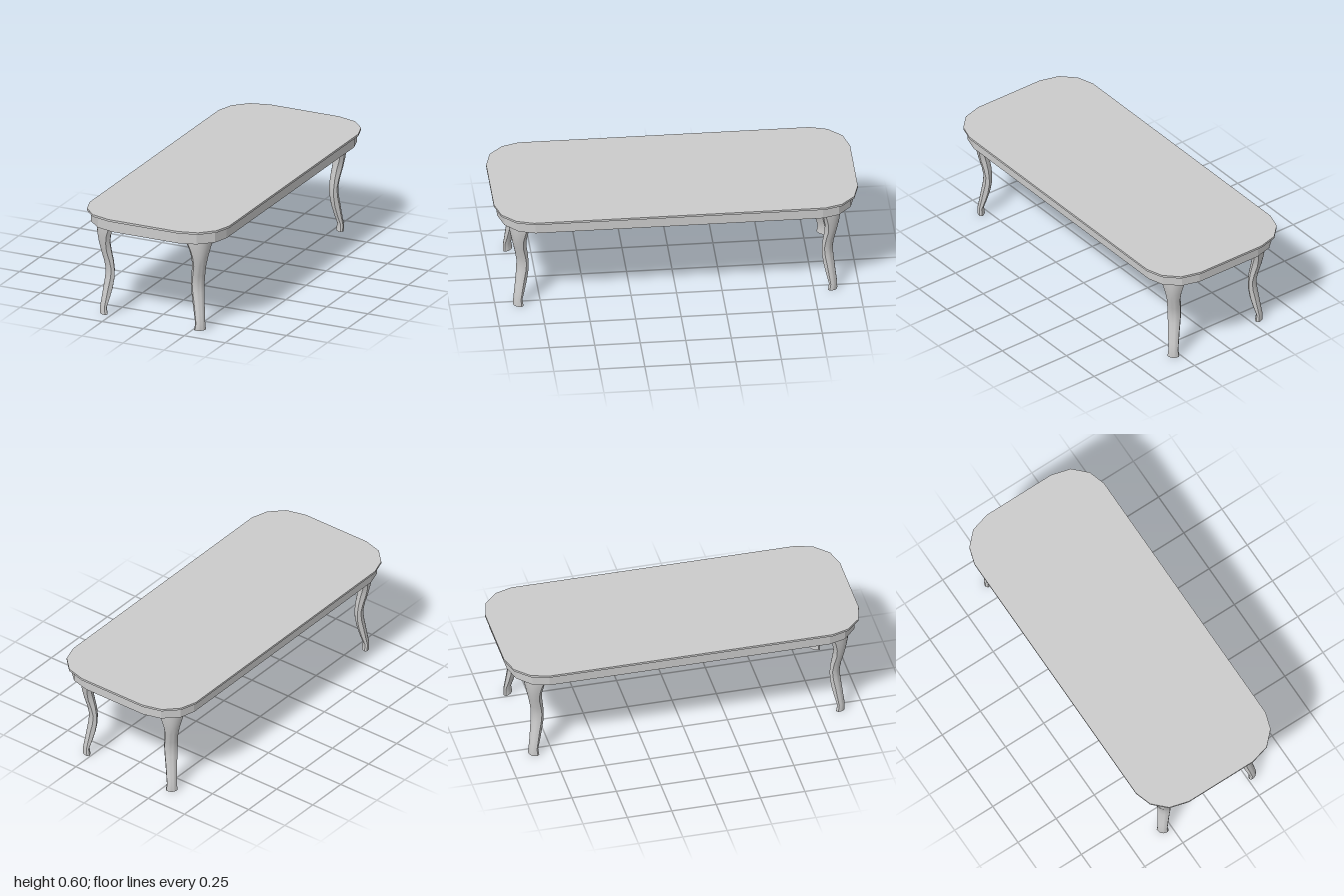
import * as THREE from 'three';
import { toCreasedNormals } from 'three/addons/utils/BufferGeometryUtils.js';

const material = new THREE.MeshStandardMaterial({ color: 0xcccccc, side: THREE.DoubleSide });

// Closed outline mirrored from the points of one rounded corner
function outline(corner) {
  const back = [...corner].reverse();
  return [
    ...corner,
    ...back.map(([x, z]) => [x, -z]),
    ...corner.map(([x, z]) => [-x, -z]),
    ...back.map(([x, z]) => [-x, z]),
  ].map(([x, z]) => new THREE.Vector2(x, z));
}

// Horizontal slab between two heights
function slab(name, shape, y0, y1) {
  const geometry = new THREE.ExtrudeGeometry(shape, { depth: y1 - y0, bevelEnabled: false });
  geometry.rotateX(-Math.PI / 2).translate(0, y0, 0);
  const mesh = new THREE.Mesh(geometry, material);
  mesh.name = name;
  return mesh;
}

// Curved leg: rows of [height, reach, half width, side thickness],
// with reach along +z before the leg is turned to its corner
function legGeometry() {
  const rows = [
    [0, 0.2965, 0.0225, 0.010],
    [0.04, 0.2985, 0.0190, 0.009],
    [0.09, 0.2915, 0.0200, 0.014],
    [0.15, 0.2835, 0.0215, 0.018],
    [0.21, 0.2750, 0.0240, 0.016],
    [0.26, 0.2720, 0.0255, 0.013],
    [0.31, 0.2790, 0.0255, 0.016],
    [0.37, 0.2915, 0.0255, 0.020],
    [0.42, 0.2970, 0.0310, 0.018],
    [0.47, 0.2975, 0.0410, 0.017],
    [0.525, 0.2920, 0.0550, 0.022],
    [0.592, 0.2880, 0.0600, 0.024],
  ].map(([y, ...rest]) => [y, ...rest.map((d) => d * Math.SQRT2)]);
  const steps = 8;
  const n = 2 * (steps + 1);
  const positions = [];
  const index = [];
  for (const [y, reach, w, t] of rows) {
    // Bowed front, narrow flat sides, slightly bowed back
    for (let i = 0; i <= steps; i++) {
      const s = -1 + (2 * i) / steps;
      positions.push(w * s, y, reach + 0.5 * w * (1 - s * s));
    }
    for (let i = 0; i <= steps; i++) {
      const s = 1 - (2 * i) / steps;
      positions.push(w * s, y, reach - t - 0.3 * w * (1 - s * s));
    }
  }
  for (let r = 0; r < rows.length - 1; r++) {
    for (let i = 0; i < n; i++) {
      const a = r * n + i;
      const b = r * n + ((i + 1) % n);
      index.push(a, b, b + n, a, b + n, a + n);
    }
  }
  // Foot and top caps
  const top = (rows.length - 1) * n;
  for (let i = 1; i < n - 1; i++) {
    index.push(0, i + 1, i, top, top + i, top + i + 1);
  }
  const geometry = new THREE.BufferGeometry();
  geometry.setAttribute('position', new THREE.Float32BufferAttribute(positions, 3));
  geometry.setIndex(index);
  return toCreasedNormals(geometry, 0.6);
}

export function createModel() {
  const model = new THREE.Group();
  model.name = 'table';

  // Thin top with chamfered corners
  const topCorner = [[0.21, 1], [0.32, 0.97], [0.395, 0.895], [0.425, 0.8]];
  model.add(slab('tableTop', new THREE.Shape(outline(topCorner)), 0.59, 0.602));

  // Hollow apron under the top
  const apronShape = new THREE.Shape(outline([[0.2, 0.98], [0.3, 0.952], [0.378, 0.88], [0.405, 0.79]]));
  const inner = outline([[0.196, 0.95], [0.284, 0.925], [0.351, 0.865], [0.375, 0.786]]);
  apronShape.holes.push(new THREE.Path(inner.reverse()));
  model.add(slab('apron', apronShape, 0.525, 0.592));

  // Four legs facing outward along the diagonals
  const geometry = legGeometry();
  for (const sx of [1, -1]) {
    for (const sz of [1, -1]) {
      const leg = new THREE.Mesh(geometry, material);
      leg.name = (sz > 0 ? 'front' : 'back') + (sx > 0 ? 'Left' : 'Right') + 'Leg';
      leg.position.set(-0.0075, 0, 0.572 * sz + 0.01);
      leg.rotation.y = Math.atan2(sx, sz);
      model.add(leg);
    }
  }
  return model;
}
